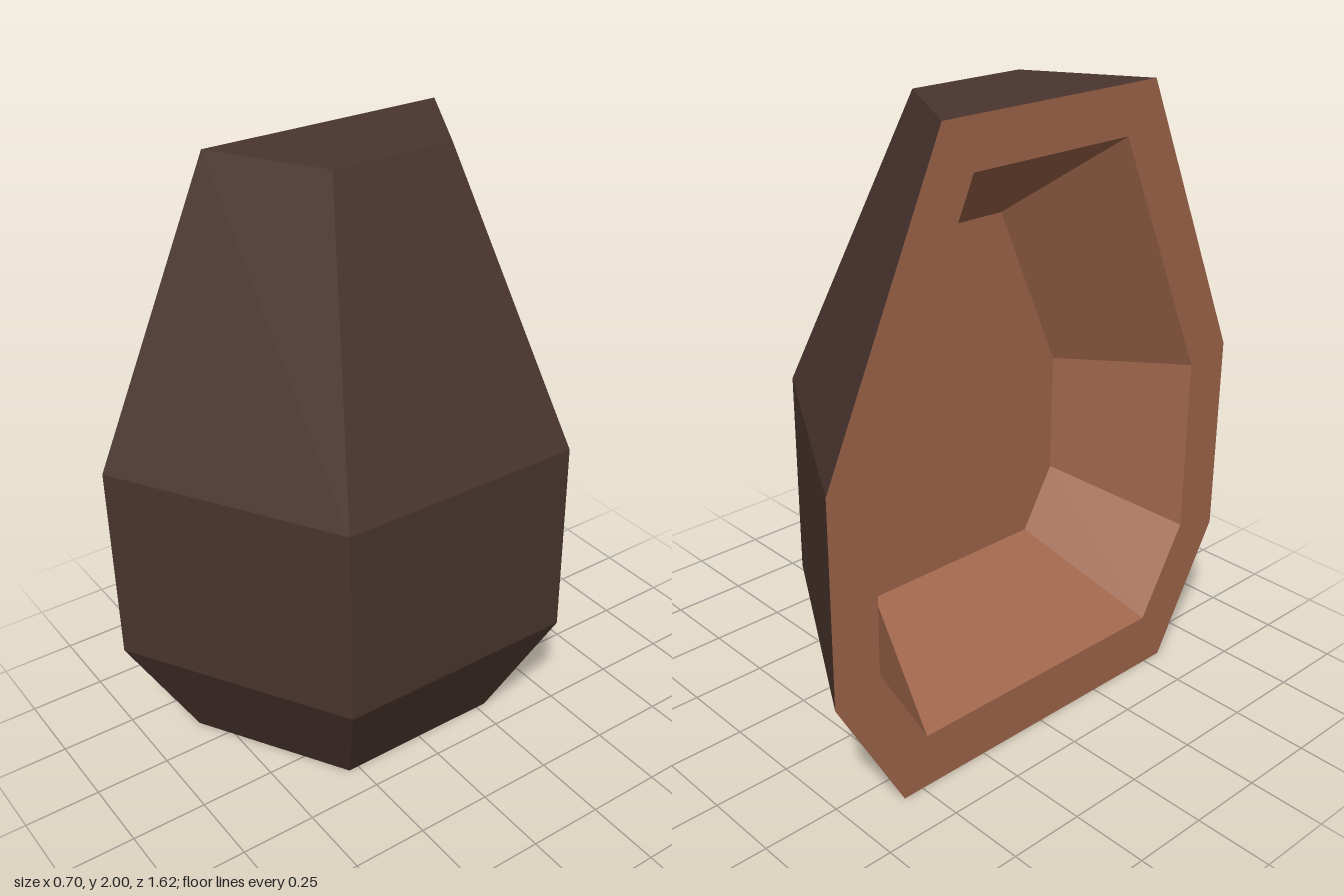
import * as THREE from 'three';

const BACK = -0.35; // plane of the open side
// half-hexagon shell: [radius, height]
const SHELL = [[0.57, 0], [0.81, 0.43], [0.81, 1.09], [0.405, 2]];
// opening just inside the rim
const LIP = [[0.48, 0.18], [0.65, 0.475], [0.65, 1.055], [0.296, 1.85]];

// mirrored outline on the open side, counter-clockwise seen from -x
function outline(profile, x, scale = 1, yc = 0.905) {
  const side = (sign) => profile.map(([r, y]) =>
    new THREE.Vector3(x, yc + (y - yc) * scale, sign * r * scale));
  return [...side(1), ...side(-1).reverse()];
}

// strip of quads between two matching closed outlines
function band(a, b) {
  const out = [];
  a.forEach((p, i) => {
    const j = (i + 1) % a.length;
    out.push(p, a[j], b[j], p, b[j], b[i]);
  });
  return out;
}

function facetMesh(name, points, material) {
  const geometry = new THREE.BufferGeometry().setFromPoints(points);
  geometry.computeVertexNormals();
  const mesh = new THREE.Mesh(geometry, material);
  mesh.name = name;
  return mesh;
}

export function createModel() {
  const group = new THREE.Group();
  group.name = 'hollowRockHalf';
  const rock = new THREE.MeshStandardMaterial({ color: 0x4a352e, flatShading: true });
  const lining = new THREE.MeshStandardMaterial({ color: 0xa0664c, flatShading: true });

  // outer shell with flat top and bottom
  const profile = [[0, 0], ...SHELL, [0, 2]].map(([r, y]) => new THREE.Vector2(r, y));
  const shellGeometry = new THREE.LatheGeometry(profile, 3, 0, Math.PI).toNonIndexed();
  shellGeometry.computeVertexNormals();
  const shell = new THREE.Mesh(shellGeometry, rock);
  shell.name = 'outerShell';
  shell.position.x = BACK;
  group.add(shell);

  // flat rim, sloping cavity walls and cavity back
  const edge = outline(SHELL, BACK);
  const lip = outline(LIP, BACK);
  const deep = outline(LIP, 0.07, 0.69);
  const centre = new THREE.Vector3(0.07, 0.905, 0);
  group.add(facetMesh('rim', band(edge, lip), lining));
  group.add(facetMesh('cavityWalls', band(lip, deep), lining));
  group.add(facetMesh('cavityBack',
    deep.flatMap((p, i) => [p, deep[(i + 1) % deep.length], centre]), lining));

  return group;
}
